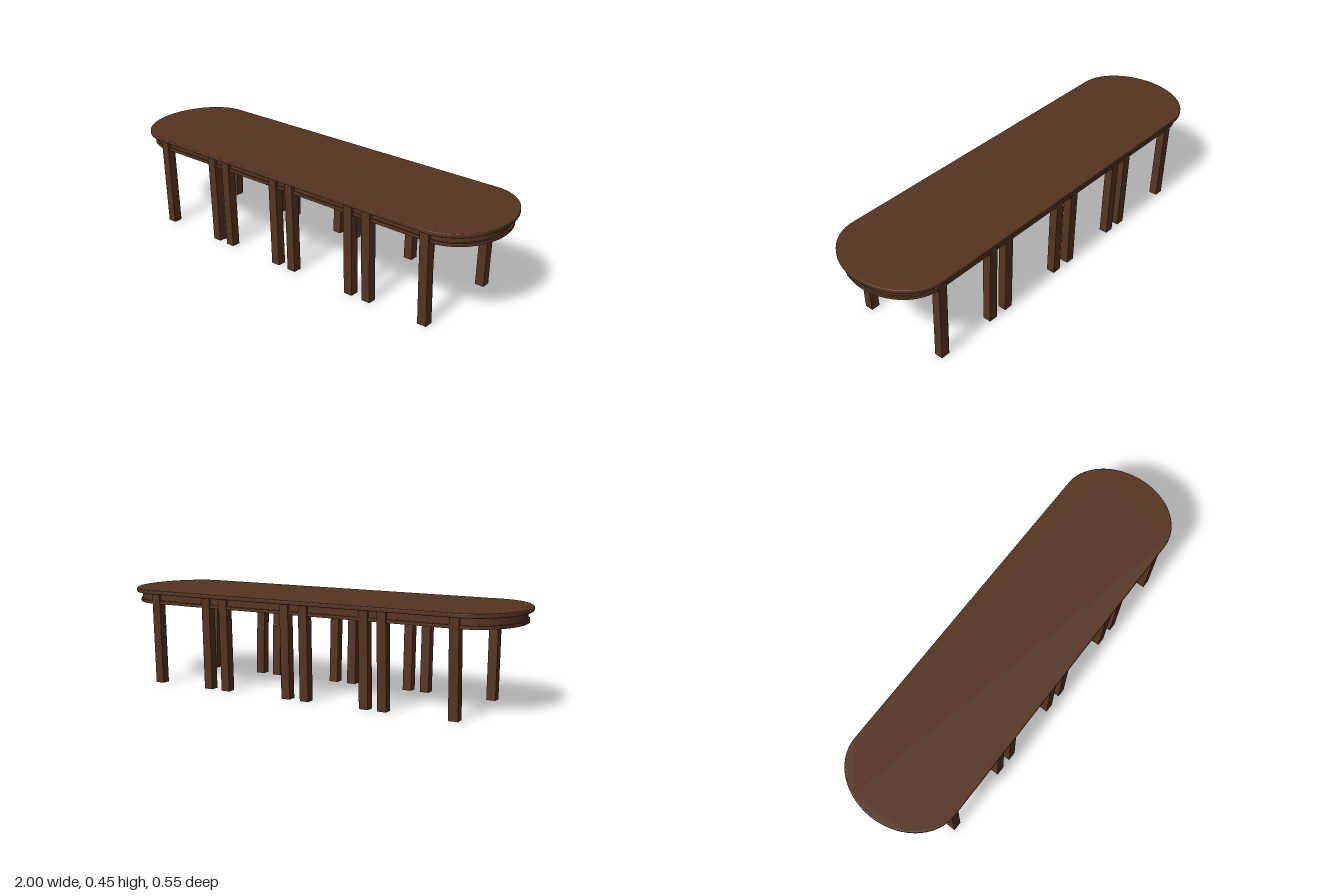
import * as THREE from 'three';

const STRAIGHT = 0.78; // half length of the straight sides

// Oval outline: straight sides joined by half ellipses
function oval(halfX, halfZ) {
  const shape = new THREE.Shape();
  const rx = halfX - STRAIGHT;
  shape.moveTo(STRAIGHT, -halfZ);
  shape.absellipse(STRAIGHT, 0, rx, halfZ, -Math.PI / 2, Math.PI / 2, false, 0);
  shape.lineTo(-STRAIGHT, halfZ);
  shape.absellipse(-STRAIGHT, 0, rx, halfZ, Math.PI / 2, Math.PI * 1.5, false, 0);
  shape.closePath();
  return shape;
}

// Solid oval slab between two heights, optionally bevelled
function slab(halfX, halfZ, y0, y1, bevel, curveSegments) {
  const geometry = new THREE.ExtrudeGeometry(oval(halfX, halfZ), {
    depth: y1 - y0 - 2 * bevel,
    bevelEnabled: bevel > 0,
    bevelThickness: bevel,
    bevelSize: bevel,
    bevelOffset: -bevel,
    bevelSegments: 3,
    curveSegments,
  });
  geometry.rotateX(-Math.PI / 2);
  geometry.translate(0, y0 + bevel, 0);
  return geometry;
}

export function createModel() {
  const table = new THREE.Group();
  table.name = 'conferenceTable';
  const wood = new THREE.MeshStandardMaterial({ color: 0x553421 });
  wood.name = 'darkWood';

  const add = (name, geometry, z = 0) => {
    const mesh = new THREE.Mesh(geometry, wood);
    mesh.name = name;
    mesh.position.z = z;
    table.add(mesh);
    return mesh;
  };

  // Top and the closed frame beneath it
  add('tableTop', slab(1, 0.2745, 0.435, 0.454, 0.004, 24));
  add('apron', slab(0.976, 0.24, 0.4, 0.436, 0, 12), -0.001);
  add('apronLip', slab(0.984, 0.2475, 0.387, 0.402, 0, 12), -0.001);

  // Eight pairs of legs, leaning outwards towards the top
  const height = 0.436;
  const lean = 0.014;
  const legGeometry = new THREE.BoxGeometry(0.043, height, 0.041);
  legGeometry.translate(0, height / 2, 0);
  const position = legGeometry.attributes.position;
  for (let i = 0; i < position.count; i++) {
    position.setZ(i, position.getZ(i) + lean * position.getY(i) / height);
  }
  legGeometry.computeVertexNormals();

  for (const x of [-0.766, -0.439, -0.351, -0.052, 0.045, 0.378, 0.475, 0.769]) {
    add('frontLeg', legGeometry, 0.2225).position.x = x;
    const back = add('backLeg', legGeometry, -0.219);
    back.position.x = x;
    back.rotation.y = Math.PI;
  }
  return table;
}
